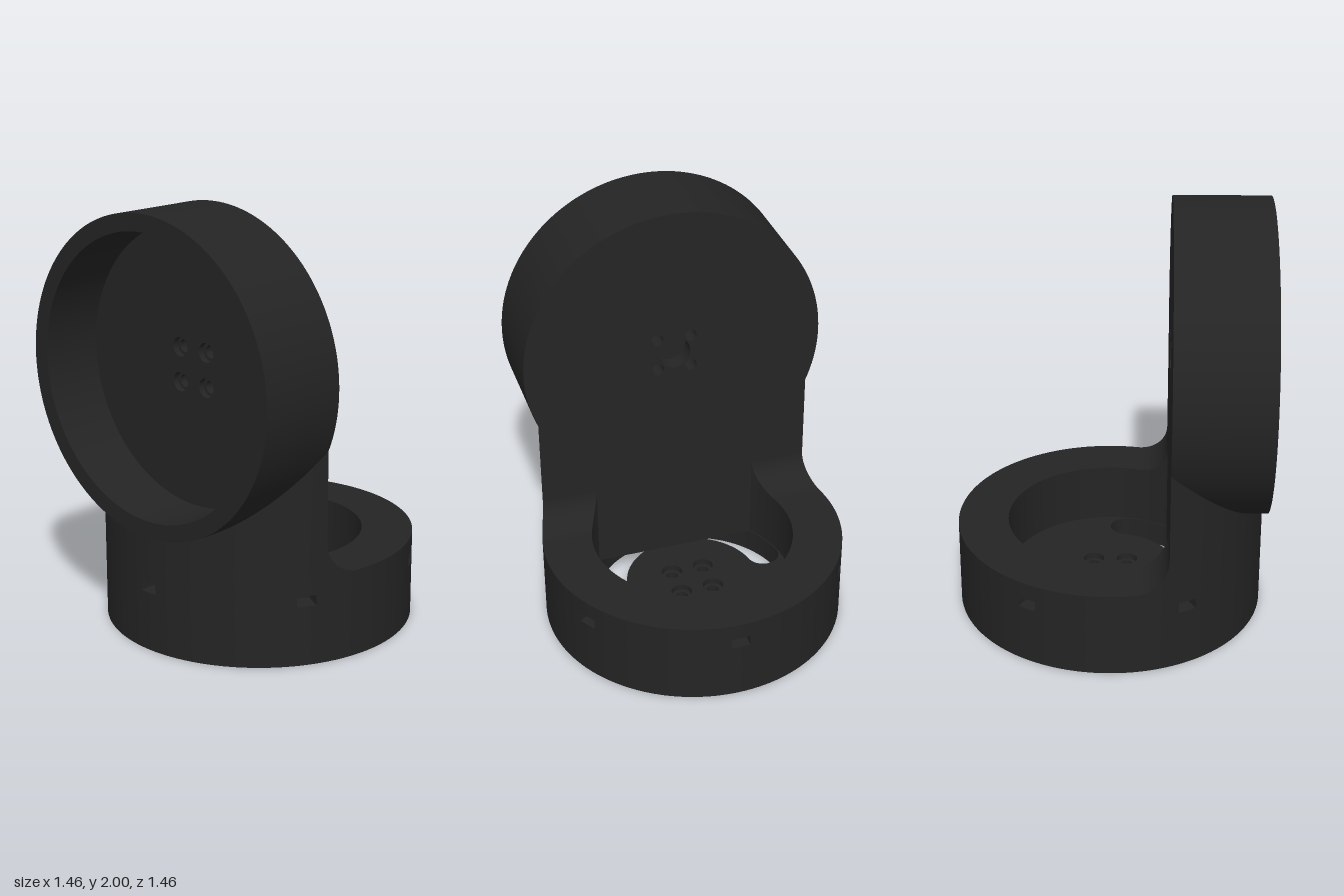
import * as THREE from 'three';
import { toCreasedNormals } from 'three/addons/utils/BufferGeometryUtils.js';

const R = 0.73, POCKET = 0.49, WALL = -0.28, AXIS_Y = 1.27, BASE_TOP = 0.41, FLOOR = 0.12;
const TAU = Math.PI * 2;

const blackPlastic = new THREE.MeshStandardMaterial({ color: 0x242424, side: THREE.DoubleSide });

const circle = (r, x = 0, y = 0) => new THREE.Path().absarc(x, y, r, 0, TAU, false);
const disc = (r, holes) => {
  const s = new THREE.Shape();
  s.absarc(0, 0, r, 0, TAU, false);
  s.holes = holes;
  return s;
};
const screwHoles = (r) => [[1, 1], [1, -1], [-1, 1], [-1, -1]].map(([a, b]) => circle(r, a * 0.081, b * 0.081));

// Slab of a flat outline between two heights along the y or x axis
function slab(group, name, shape, lo, hi, axis) {
  let g = new THREE.ExtrudeGeometry(shape, { depth: hi - lo, bevelEnabled: false, curveSegments: 96 });
  g.translate(0, 0, lo);
  if (axis === 'y') g.rotateX(-Math.PI / 2);
  else g.rotateY(Math.PI / 2).translate(0, AXIS_Y, 0);
  g = toCreasedNormals(g, 0.5);
  const m = new THREE.Mesh(g, blackPlastic);
  m.name = name;
  group.add(m);
}

// Curved sheet from a rule (u, v) -> [x, y, z]
function sheet(group, name, rule, nu = 64, nv = 1) {
  const g = new THREE.PlaneGeometry(1, 1, nu, nv);
  const p = g.attributes.position;
  for (let i = 0; i < p.count; i++) p.setXYZ(i, ...rule(p.getX(i) + 0.5, p.getY(i) + 0.5));
  g.computeVertexNormals();
  const m = new THREE.Mesh(g, blackPlastic);
  m.name = name;
  group.add(m);
}

// C-shaped cable slot with round ends
function cableSlot() {
  const a = 1.76, b = TAU - a, r = 0.405, w = 0.08;
  const s = new THREE.Path();
  s.absarc(0, 0, r + w, a, b, false);
  s.absarc(r * Math.cos(b), r * Math.sin(b), w, b, b + Math.PI, false);
  s.absarc(0, 0, r - w, b, a, true);
  s.absarc(r * Math.cos(a), r * Math.sin(a), w, a + Math.PI, a + TAU, false);
  return s;
}

// Pocket outline, cut flat along the upright wall
function pocket() {
  const a = Math.acos(WALL / POCKET);
  const s = new THREE.Path();
  s.absarc(0, 0, POCKET, -a, a, false);
  s.closePath();
  return s;
}

// Round outline with six rectangular nut pockets
function notchedOutline() {
  const half = 0.045, inner = 0.63, d = Math.asin(half / R);
  const s = new THREE.Shape();
  for (let k = 0; k < 6; k++) {
    const t = k * TAU / 6, c = Math.cos(t), n = Math.sin(t);
    for (const side of [-half, half]) {
      const x = inner * c - side * n, y = inner * n + side * c;
      if (k === 0 && side < 0) s.moveTo(x, y); else s.lineTo(x, y);
    }
    s.absarc(0, 0, R, t + d, t + TAU / 6 - d, false);
  }
  s.closePath();
  s.holes = [pocket()];
  return s;
}

function makeBase() {
  const base = new THREE.Group();
  base.name = 'base';
  const mounts = () => Array.from({ length: 6 }, (_, k) => {
    const t = (k + 0.5) * TAU / 6;
    return circle(0.042, 0.575 * Math.cos(t), 0.575 * Math.sin(t));
  });
  slab(base, 'baseFloor', disc(R, [cableSlot(), ...screwHoles(0.03), ...mounts()]), 0, 0.09, 'y');
  slab(base, 'counterboredFloor', disc(R, [cableSlot(), ...screwHoles(0.05), ...mounts()]), 0.09, FLOOR, 'y');
  slab(base, 'lowerRing', disc(R, [pocket()]), FLOOR, 0.28, 'y');
  slab(base, 'nutPocketRing', notchedOutline(), 0.28, 0.33, 'y');
  slab(base, 'upperRing', disc(R, [pocket()]), 0.33, BASE_TOP, 'y');
  return base;
}

function makeColumn() {
  const column = new THREE.Group();
  column.name = 'column';
  // Column walls rise until they meet the underside of the round housing
  const zMax = Math.sqrt(R * R - WALL * WALL);
  const height = (z, v) => BASE_TOP + v * (AXIS_Y - Math.sqrt(R * R - z * z) - BASE_TOP);
  sheet(column, 'columnFace', (u, v) => {
    const z = (1 - 2 * u) * zMax;
    return [WALL, height(z, v), z];
  });
  sheet(column, 'columnBack', (u, v) => {
    const z = (2 * u - 1) * zMax;
    return [-Math.sqrt(R * R - z * z), height(z, v), z];
  });

  // Concave fillets where the column meets the ring
  const rad = 0.15;
  const curve = (u) => {
    const a = u * Math.PI / 2;
    return [WALL + rad * (1 - Math.cos(a)), BASE_TOP + rad * (1 - Math.sin(a))];
  };
  const reach = (r, x) => Math.sqrt(r * r - x * x);
  for (const side of [1, -1]) {
    const fillet = new THREE.Group();
    fillet.name = side > 0 ? 'frontFillet' : 'backFillet';
    fillet.scale.z = side;
    sheet(fillet, 'filletTop', (u, v) => {
      const [x, y] = curve(u);
      return [x, y, reach(R, x) + v * (reach(POCKET, x) - reach(R, x))];
    }, 24);
    for (const [name, r] of [['filletOuterSide', R], ['filletInnerSide', POCKET]]) {
      sheet(fillet, name, (u, v) => {
        const [x, y] = curve(r === R ? u : 1 - u);
        return [x, BASE_TOP + v * (y - BASE_TOP), reach(r, x)];
      }, 24);
    }
    column.add(fillet);
  }
  return column;
}

function makeHousing() {
  // Upright round cup, open towards -x
  const housing = new THREE.Group();
  housing.name = 'uprightHousing';
  slab(housing, 'housingRim', disc(R, [circle(0.65)]), -R, -0.43, 'x');
  slab(housing, 'housingCounterbores', disc(R, screwHoles(0.045)), -0.43, -0.4, 'x');
  slab(housing, 'housingFloor', disc(R, screwHoles(0.03)), -0.4, -0.36, 'x');
  slab(housing, 'housingFace', disc(R, [...screwHoles(0.03), circle(0.08)]), -0.36, WALL, 'x');
  return housing;
}

export function createModel() {
  const model = new THREE.Group();
  model.name = 'rightAngleBracket';
  model.add(makeBase(), makeColumn(), makeHousing());
  return model;
}
